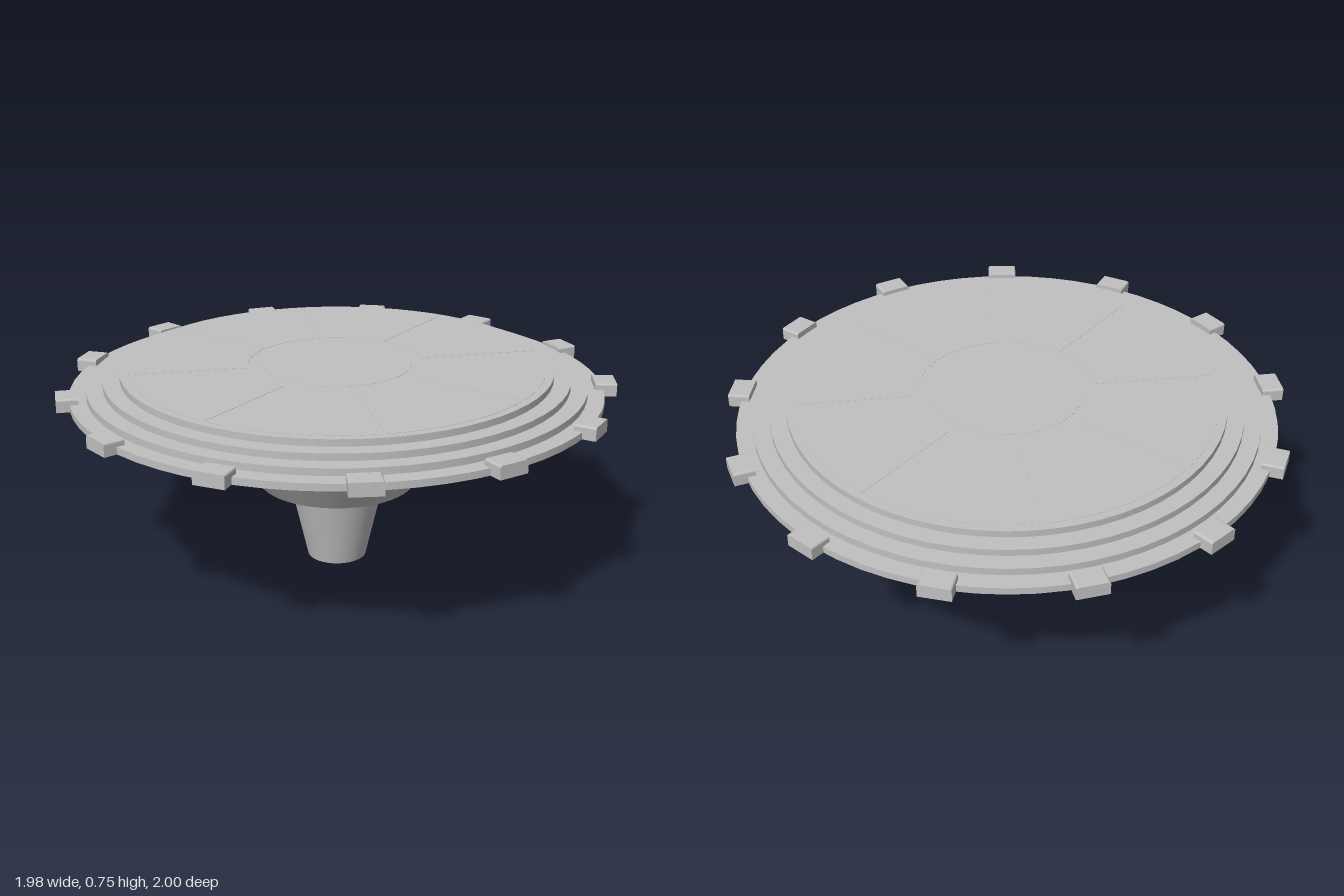
import * as THREE from 'three';

const grey = new THREE.MeshStandardMaterial({ color: 0xc0c0c0 });
grey.name = 'plainGrey';

const SEGMENTS = 64;

function add(parent, name, geometry) {
  const mesh = new THREE.Mesh(geometry, grey);
  mesh.name = name;
  parent.add(mesh);
  return mesh;
}

// Closed drum or cone between two heights, with crisp edges and round sides
function drum(parent, name, bottomRadius, topRadius, bottom, top) {
  const geometry = new THREE.CylinderGeometry(topRadius, bottomRadius, top - bottom, SEGMENTS);
  geometry.translate(0, (bottom + top) / 2, 0);
  return add(parent, name, geometry);
}

// Flat floor panel between two radii and two angles
function panelGeometry(inner, outer, start, sweep) {
  const shape = new THREE.Shape();
  shape.absarc(0, 0, outer, start, start + sweep, false);
  shape.absarc(0, 0, inner, start + sweep, start, true);
  const geometry = new THREE.ExtrudeGeometry(shape, { depth: 0.001, bevelEnabled: false, curveSegments: 12 });
  return geometry.rotateX(-Math.PI / 2);
}

// Rim block: a rounded-top section extruded outwards along +x
function blockGeometry() {
  const w = 0.055, h = 0.047, r = 0.008;
  const section = new THREE.Shape();
  section.moveTo(-w, 0);
  section.lineTo(w, 0);
  section.lineTo(w, h - r);
  section.absarc(w - r, h - r, r, 0, Math.PI / 2, false);
  section.absarc(-w + r, h - r, r, Math.PI / 2, Math.PI, false);
  section.lineTo(-w, 0);
  const geometry = new THREE.ExtrudeGeometry(section, { depth: 0.077, bevelEnabled: false, curveSegments: 4 });
  return geometry.rotateY(Math.PI / 2).translate(0.923, 0.649, 0);
}

export function createModel() {
  const model = new THREE.Group();
  model.name = 'steppedPlatform';
  model.position.x = -0.008;
  const group = new THREE.Group();
  group.name = 'platform';
  model.add(group);

  // Tapered underside, narrowing in three stages
  drum(group, 'stem', 0.109, 0.178, 0, 0.303);
  drum(group, 'middleCone', 0.29, 0.452, 0.303, 0.537);
  drum(group, 'upperCone', 0.652, 0.798, 0.537, 0.649);

  // Stepped deck
  const radii = [0.955, 0.895, 0.835, 0.775];
  const heights = [0.649, 0.674, 0.699, 0.723, 0.747];
  radii.forEach((r, i) => drum(group, 'deckStep' + (i + 1), r, r, heights[i], heights[i + 1]));

  // Nearly flush floor panels around a round centre plate
  drum(group, 'centrePlate', 0.268, 0.268, 0.747, 0.748);
  const panels = 8, gap = 0.02;
  for (let i = 0; i < panels; i++) {
    const step = (Math.PI * 2) / panels;
    const panel = add(group, 'floorPanel' + (i + 1), panelGeometry(0.32, 0.745, gap / 2, step - gap));
    panel.position.y = 0.747;
    panel.rotation.y = -0.56 + i * step;
  }

  // Blocks spaced around the rim
  const block = blockGeometry();
  const count = 13;
  for (let i = 0; i < count; i++) {
    add(group, 'rimBlock' + (i + 1), block).rotation.y = (i / count) * Math.PI * 2;
  }
  return model;
}
